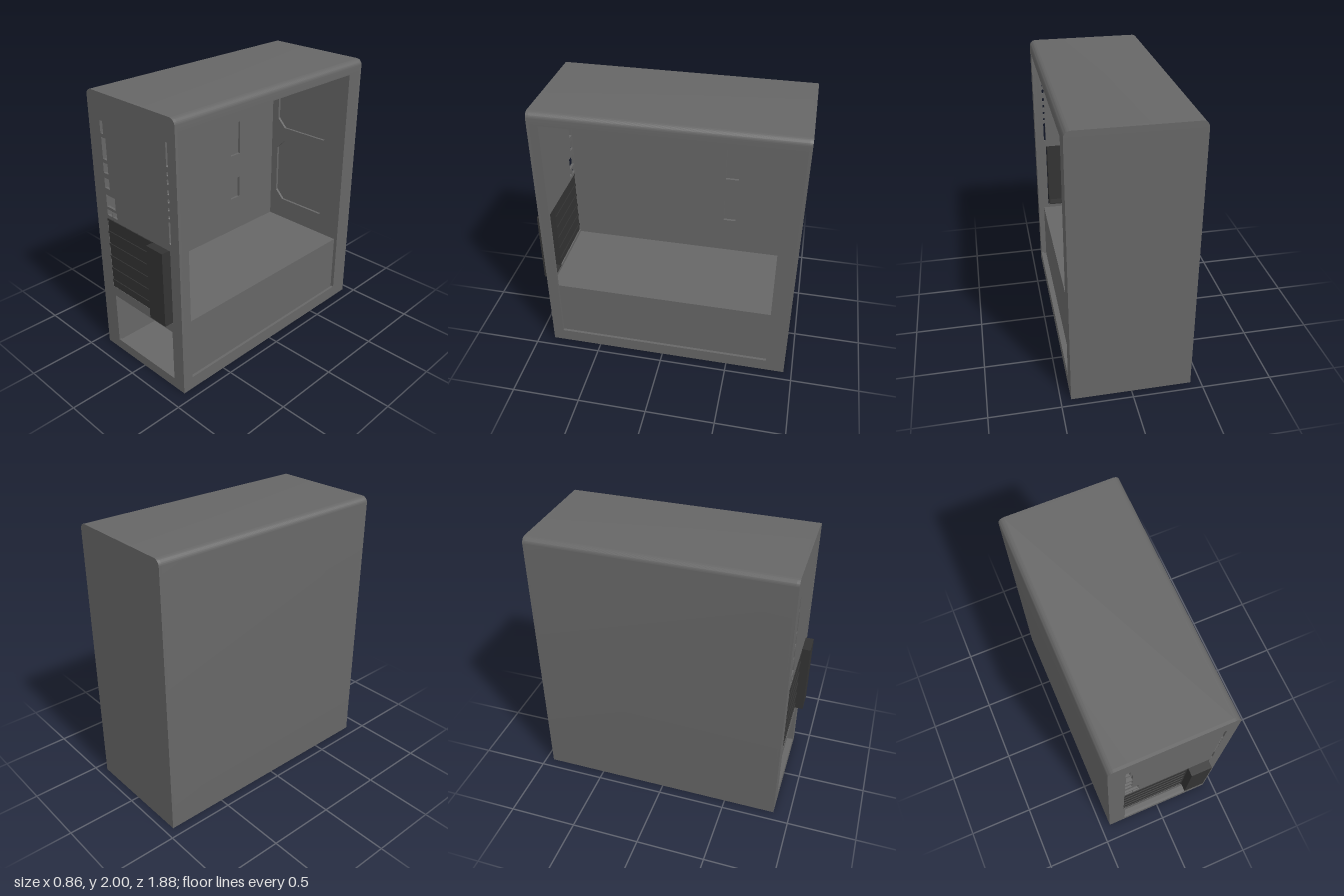
import * as THREE from 'three';
import { toCreasedNormals } from 'three/addons/utils/BufferGeometryUtils.js';

const W = 0.4275; // half width
const FRONT = 0.88, BACK = -0.94, H = 2, R = 0.045;
const T = 0.02; // sheet thickness

export function createModel() {
  const model = new THREE.Group();
  const shellMat = new THREE.MeshStandardMaterial({ color: 0x666666 });
  const darkMat = new THREE.MeshStandardMaterial({ color: 0x333333 });

  function add(name, geometry, mat = shellMat, parent = model) {
    const mesh = new THREE.Mesh(geometry, mat);
    mesh.name = name;
    parent.add(mesh);
    return mesh;
  }
  // box given by its limits
  function box(name, x0, x1, y0, y1, z0, z1, mat, parent) {
    const g = new THREE.BoxGeometry(x1 - x0, y1 - y0, z1 - z0);
    g.translate((x0 + x1) / 2, (y0 + y1) / 2, (z0 + z1) / 2);
    return add(name, g, mat, parent);
  }
  // closed outline: rectangle with chamfered corners
  function rect(Type, [x0, x1, y0, y1], c = 0) {
    const pts = c
      ? [[x0 + c, y0], [x1 - c, y0], [x1, y0 + c], [x1, y1 - c], [x1 - c, y1], [x0 + c, y1], [x0, y1 - c], [x0, y0 + c]]
      : [[x0, y0], [x1, y0], [x1, y1], [x0, y1]];
    return new Type(pts.map(p => new THREE.Vector2(...p)));
  }
  function extrude(shape, depth, z) {
    const g = new THREE.ExtrudeGeometry(shape, { depth, bevelEnabled: false, curveSegments: 8 });
    g.translate(0, 0, z);
    return toCreasedNormals(g, 0.5);
  }
  // outline of the case with rounded top edges
  function startOutline() {
    const s = new THREE.Shape();
    s.moveTo(W, 0);
    s.lineTo(W, H - R);
    s.absarc(W - R, H - R, R, 0, Math.PI / 2);
    s.lineTo(-W + R, H);
    s.absarc(-W + R, H - R, R, Math.PI / 2, Math.PI);
    s.lineTo(-W, 0);
    return s;
  }

  // outer shell: top, closed side and bottom, with lips around the open side
  const shell = new THREE.Shape();
  shell.moveTo(W, 1.91);
  shell.lineTo(W, H - R);
  shell.absarc(W - R, H - R, R, 0, Math.PI / 2);
  shell.lineTo(-W + R, H);
  shell.absarc(-W + R, H - R, R, Math.PI / 2, Math.PI);
  [[-W, 0], [W, 0], [W, 0.095], [W - T, 0.095], [W - T, 0.045], [-W + T, 0.045],
    [-W + T, 1.955], [W - T, 1.955], [W - T, 1.91]].forEach(p => shell.lineTo(...p));
  add('outerShell', extrude(shell, FRONT - BACK - 2 * T, BACK + T));

  // posts beside the side opening
  box('sidePostFront', W - T, W, 0.095, 1.91, 0.8, FRONT - T);
  box('sidePostBack', W - T, W, 0.095, 1.91, BACK + T, -0.8);

  // front wall with port, vent, card and power supply openings
  const frontWall = startOutline();
  const ports = [
    [-0.31, -0.28, 1.72, 1.81], [-0.306, -0.26, 1.54, 1.695], [-0.31, -0.26, 1.44, 1.515],
    [-0.31, -0.258, 1.33, 1.405], [-0.307, -0.21, 1.19, 1.28],
    [-0.307, -0.252, 1.125, 1.17], [-0.248, -0.2, 1.125, 1.17],
    [-0.31, 0.34, 0.545, 1.1], [-0.295, 0.328, 0.075, 0.47],
  ];
  frontWall.holes = ports.map(p => rect(THREE.Path, p));
  const vents = [[1.68, 1.84], [1.62, 1.65], [1.565, 1.6], [1.495, 1.53], [1.44, 1.47], [1.385, 1.41], [1.33, 1.355], [1.15, 1.31]];
  for (const [y0, y1] of vents) frontWall.holes.push(rect(THREE.Path, [0.338, 0.354, y0, y1], 0.005));
  add('frontWall', extrude(frontWall, T, FRONT - T));

  // closed back panel and the inner fan wall ahead of it
  add('backPanel', extrude(startOutline(), T, BACK));
  const fanWall = rect(THREE.Shape, [-W + T, W - T, 0.045, 1.955]);
  fanWall.holes = [0.955, 1.6].map(y => rect(THREE.Path, [-0.26, 0.28, y - 0.265, y + 0.265], 0.07));
  add('fanWall', extrude(fanWall, T, -0.85));

  // mounting tray with cable cut-outs, drawn in z and y
  const tray = rect(THREE.Shape, [-0.83, FRONT - T, 0.045, 1.955]);
  tray.holes = [
    [0.54, 0.69, 1.7, 1.8], [-0.3, -0.15, 1.72, 1.8], [-0.44, -0.34, 1.19, 1.46], [-0.435, -0.34, 0.81, 0.985],
  ].map(p => rect(THREE.Path, p));
  const trayGeo = extrude(tray, T, 0);
  trayGeo.rotateY(-Math.PI / 2);
  trayGeo.translate(-0.32, 0, 0);
  add('mountingTray', trayGeo);

  // power supply shroud
  box('shroudDeck', -0.32, 0.38, 0.5, 0.52, -0.83, FRONT - T);
  box('shroudSide', 0.36, 0.38, 0.045, 0.5, -0.83, FRONT - T);

  // expansion slot covers: backing sheet and narrow ridges
  const slots = new THREE.Group();
  slots.name = 'expansionSlots';
  model.add(slots);
  box('slotBacking', -0.31, 0.175, 0.545, 1.1, FRONT - 0.012, FRONT - 0.002, darkMat, slots);
  for (let i = 0; i < 6; i++) {
    const y = 0.6 + i * 0.098;
    box('slotRidge', -0.31, 0.16, y - 0.008, y + 0.008, FRONT - 0.018, FRONT + 0.004, darkMat, slots);
  }

  // hollow cover over the slot screws, open to the inside
  const cover = new THREE.Group();
  cover.name = 'slotScrewCover';
  model.add(cover);
  const z0 = FRONT - T, z1 = 0.94, t = 0.01;
  box('coverFace', 0.175, 0.33, 0.545, 1.1, z1 - t, z1, darkMat, cover);
  box('coverSideRight', 0.175, 0.175 + t, 0.545, 1.1, z0, z1 - t, darkMat, cover);
  box('coverSideLeft', 0.33 - t, 0.33, 0.545, 1.1, z0, z1 - t, darkMat, cover);
  box('coverTop', 0.175 + t, 0.33 - t, 1.1 - t, 1.1, z0, z1 - t, darkMat, cover);
  box('coverBottom', 0.175 + t, 0.33 - t, 0.545, 0.545 + t, z0, z1 - t, darkMat, cover);

  return model;
}
